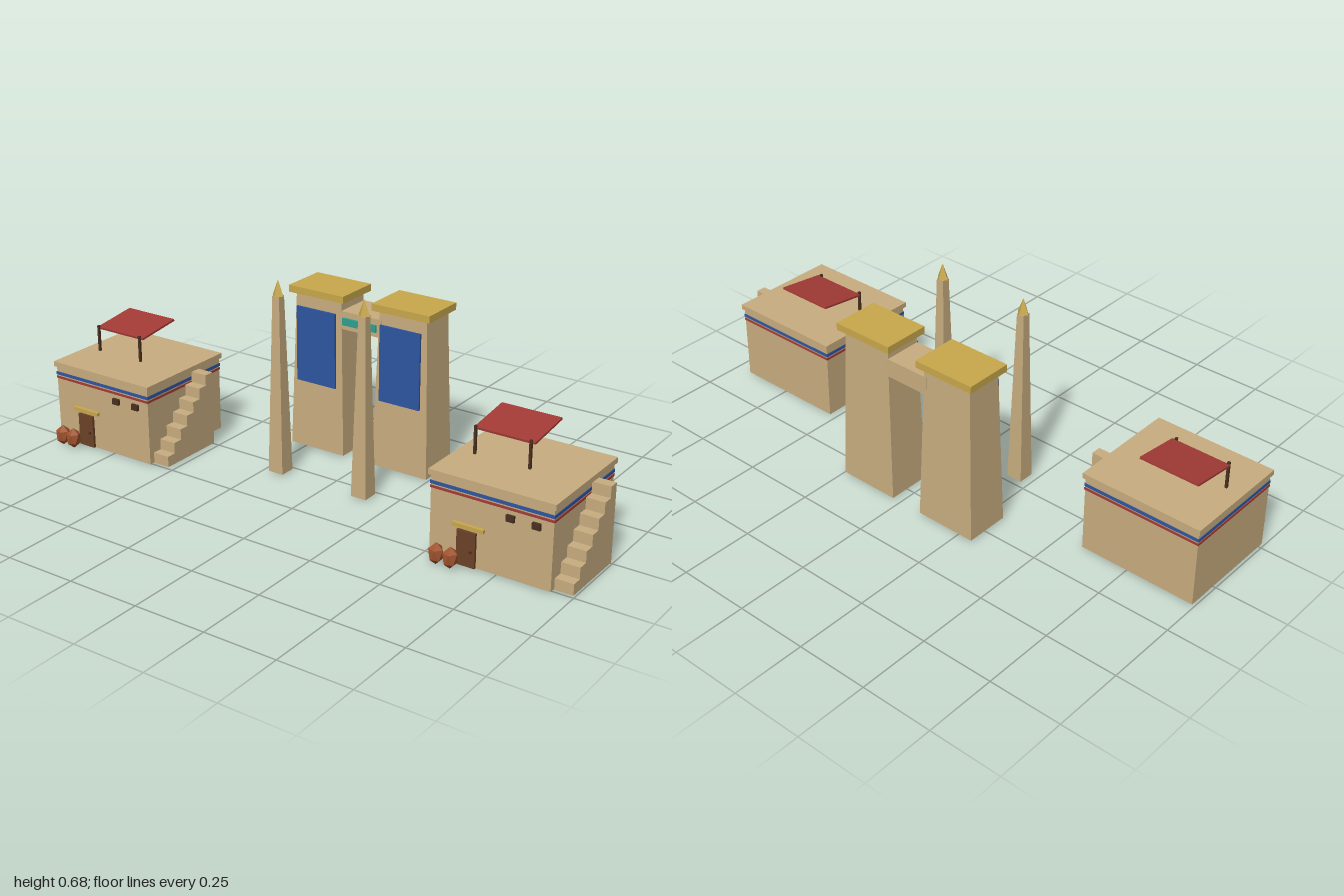
import * as THREE from 'three';

const mat = (name, color) => {
  const m = new THREE.MeshStandardMaterial({ color });
  m.name = name;
  return m;
};

export function createModel() {
  const sand = mat('sandstone', 0xc8ad7f);
  const gold = mat('gold', 0xc9a84c);
  const blue = mat('blue', 0x2f56a0);
  const red = mat('red', 0xa33b36);
  const teal = mat('teal', 0x2fa090);
  const clay = mat('clay', 0xa0522d);
  const wood = mat('door wood', 0x6b4226);
  const dark = mat('dark wood', 0x4a3020);

  const add = (parent, name, geometry, material, x = 0, y = 0, z = 0) => {
    const mesh = new THREE.Mesh(geometry, material);
    mesh.name = name;
    mesh.position.set(x, y, z);
    parent.add(mesh);
    return mesh;
  };
  // Box given by its limits on each axis
  const box = (parent, name, material, [x0, x1], [y0, y1], [z0, z1]) =>
    add(parent, name, new THREE.BoxGeometry(x1 - x0, y1 - y0, z1 - z0), material,
      (x0 + x1) / 2, (y0 + y1) / 2, (z0 + z1) / 2);
  // Box whose top is narrowed
  const tapered = (w, h, d, topW, topD) => {
    const g = new THREE.BoxGeometry(w, h, d).toNonIndexed();
    const p = g.attributes.position;
    for (let i = 0; i < p.count; i++) {
      if (p.getY(i) > 0) {
        p.setX(i, p.getX(i) * topW / w);
        p.setZ(i, p.getZ(i) * topD / d);
      }
    }
    g.computeVertexNormals();
    return g;
  };

  const model = new THREE.Group();
  model.name = 'templeVillage';

  // Faceted pot, point upwards
  const potGeometry = new THREE.IcosahedronGeometry(1, 0);
  potGeometry.rotateX(-Math.atan((1 + Math.sqrt(5)) / 2));
  potGeometry.rotateY(Math.PI / 2);
  potGeometry.scale(0.0265, 0.0367, 0.0265);
  potGeometry.computeVertexNormals();

  const buildHouse = (name, offset) => {
    const house = new THREE.Group();
    house.name = name;
    house.position.x = offset;
    model.add(house);

    // Walls, painted bands and roof
    box(house, 'walls', sand, [-0.993, -0.583], [0.005, 0.27], [-0.115, 0.264]);
    box(house, 'blueBand', blue, [-0.995, -0.581], [0.24, 0.251], [-0.117, 0.266]);
    box(house, 'redBand', red, [-0.995, -0.581], [0.227, 0.235], [-0.117, 0.266]);
    box(house, 'roof', sand, [-1, -0.576], [0.27, 0.288], [-0.122, 0.271]);

    // Door with lintel and knob, and two windows
    box(house, 'door', wood, [-0.896, -0.832], [0.005, 0.12], [0.262, 0.273]);
    box(house, 'doorLintel', gold, [-0.912, -0.805], [0.129, 0.1415], [0.262, 0.276]);
    box(house, 'doorKnob', dark, [-0.849, -0.842], [0.054, 0.061], [0.272, 0.278]);
    for (const x of [-0.735, -0.65]) {
      box(house, 'window', dark, [x, x + 0.027], [0.192, 0.213], [0.262, 0.273]);
    }

    // Solid outside stairs, as one stepped side profile
    const steps = 7, rise = 0.0377, tread = 0.0348, width = 0.062;
    const side = new THREE.Shape();
    side.moveTo(0, 0);
    for (let i = 0; i < steps; i++) {
      side.lineTo(i * tread, (i + 1) * rise);
      side.lineTo((i + 1) * tread, (i + 1) * rise);
    }
    side.lineTo(steps * tread, 0);
    side.closePath();
    const stairs = new THREE.ExtrudeGeometry(side, { depth: width, bevelEnabled: false });
    stairs.rotateY(Math.PI / 2);
    add(house, 'stairs', stairs, sand, -0.581, 0.005, 0.246);

    // Sloping awning on two posts
    for (const x of [-0.94, -0.753]) {
      box(house, 'awningPost', dark, [x - 0.004, x + 0.004], [0.004, 0.381], [0.098, 0.106]);
    }
    const awning = add(house, 'awning', new THREE.BoxGeometry(0.207, 0.007, 0.168), red,
      -0.843, 0.382, 0.0165);
    awning.rotation.x = 0.128;

    // Pots beside the door
    for (const x of [-0.947, -0.898]) add(house, 'pot', potGeometry, clay, x, 0.0367, 0.302);
  };
  buildHouse('rightHouse', 0);
  buildHouse('leftHouse', 1.516);

  // Gate towers with banners, an obelisk before each
  for (const [label, x] of [['right', -0.197], ['left', 0.136]]) {
    const tower = new THREE.Group();
    tower.name = label + 'Tower';
    tower.position.x = x;
    model.add(tower);
    add(tower, 'towerBody', tapered(0.216, 0.551, 0.155, 0.182, 0.129), sand, 0, 0.2805, -0.2425);
    box(tower, 'towerCap', gold, [-0.11, 0.11], [0.5555, 0.58], [-0.325, -0.16]);
    box(tower, 'banner', blue, [-0.078, 0.078], [0.247, 0.513], [-0.165, -0.158]);

    const obelisk = new THREE.Group();
    obelisk.name = label + 'Obelisk';
    obelisk.position.set(x, 0, 0.047);
    model.add(obelisk);
    add(obelisk, 'shaft', tapered(0.057, 0.617, 0.057, 0.027, 0.027), sand, 0, 0.3135, 0);
    const tip = new THREE.ConeGeometry(0.0215, 0.054, 4).toNonIndexed();
    tip.computeVertexNormals();
    add(obelisk, 'obeliskTip', tip, gold, 0, 0.649, 0);
  }

  // Bridge between the towers
  box(model, 'gateLintel', sand, [-0.115, 0.053], [0.46, 0.523], [-0.309, -0.176]);
  box(model, 'gatePanel', teal, [-0.097, 0.035], [0.477, 0.502], [-0.178, -0.169]);

  return model;
}
